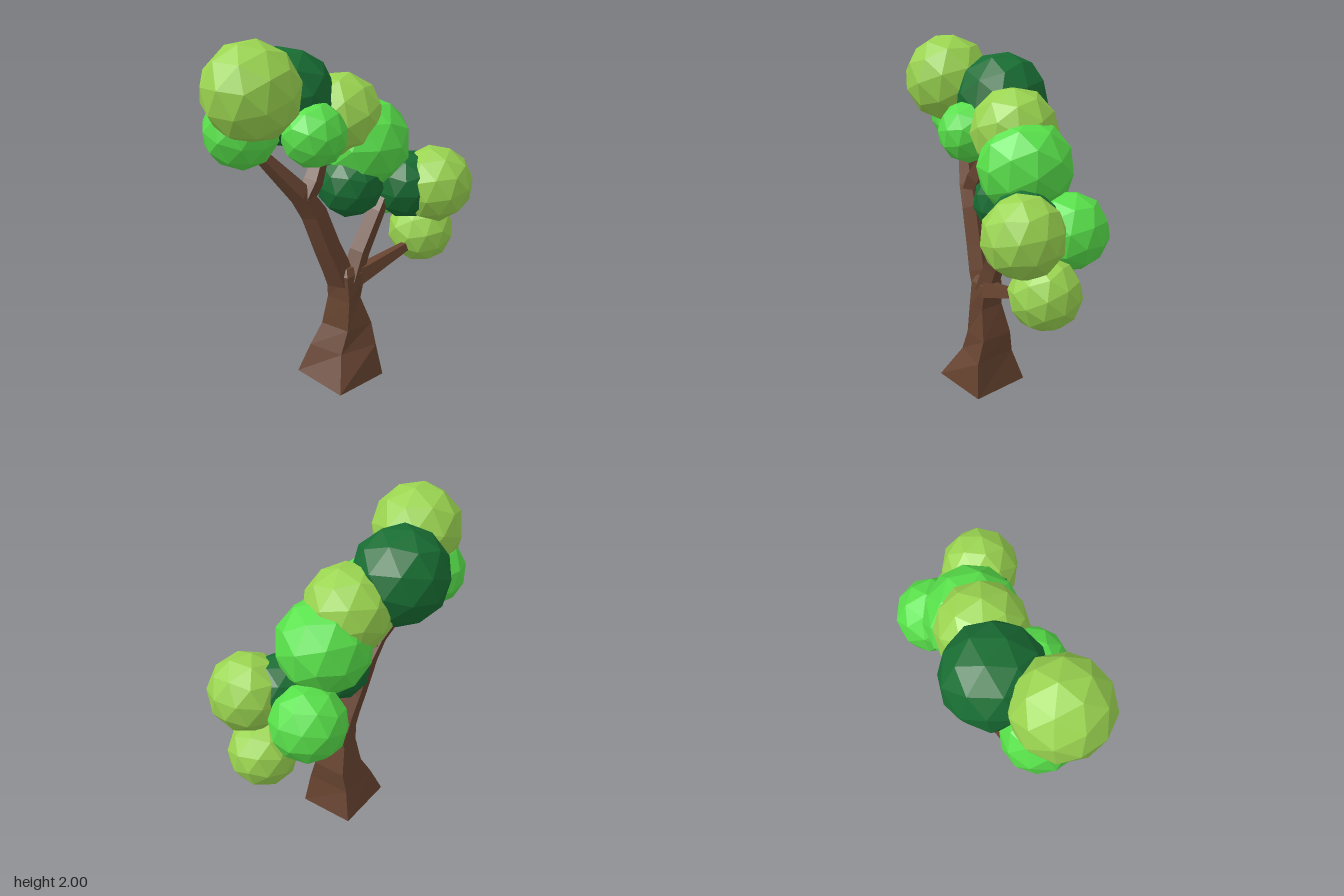
import * as THREE from 'three';

const V = (x, y, z) => new THREE.Vector3(x, y, z);
const flat = (color, name) => {
  const m = new THREE.MeshStandardMaterial({ color, flatShading: true });
  m.name = name;
  return m;
};

// Skin between four-cornered rings, closed at both ends
function loft(rings) {
  const pos = [];
  const quad = (a, b, c, d) => [a, b, c, a, c, d].forEach(p => pos.push(p.x, p.y, p.z));
  for (let i = 0; i < rings.length - 1; i++) {
    for (let k = 0; k < 4; k++) {
      const n = (k + 1) % 4;
      quad(rings[i][k], rings[i][n], rings[i + 1][n], rings[i + 1][k]);
    }
  }
  const a = rings[0], b = rings[rings.length - 1];
  quad(a[3], a[2], a[1], a[0]);
  quad(b[0], b[1], b[2], b[3]);
  const g = new THREE.BufferGeometry();
  g.setAttribute('position', new THREE.Float32BufferAttribute(pos, 3));
  g.computeVertexNormals();
  return g;
}

// Square-section limb along a path of [x, y, z, half diagonal]
function limb(path, twist) {
  const pts = path.map(p => V(p[0], p[1], p[2]));
  const rings = pts.map((p, i) => {
    const dir = pts[Math.min(i + 1, pts.length - 1)].clone().sub(pts[Math.max(i - 1, 0)]).normalize();
    const u = V(0, 0, 1).addScaledVector(dir, -dir.z).normalize();
    const w = dir.clone().cross(u);
    return [0, 1, 2, 3].map(k => {
      const t = k * Math.PI / 2 + twist;
      return p.clone().addScaledVector(u, Math.cos(t) * path[i][3]).addScaledVector(w, Math.sin(t) * path[i][3]);
    });
  });
  return loft(rings);
}

export function createModel() {
  const tree = new THREE.Group();
  tree.name = 'tree';
  const bark = flat(0x664330, 'bark brown');
  const olive = flat(0x9ad450, 'olive leaf');
  const bright = flat(0x58e04a, 'bright leaf');
  const dark = flat(0x186d33, 'dark leaf');
  const add = (name, geo, mat) => {
    const m = new THREE.Mesh(geo, mat);
    m.name = name;
    tree.add(m);
    return m;
  };

  // Trunk rings: front, right, back, left corners
  add('trunk', loft([
    [V(-0.055, 0.02, 0.37), V(0.212, 0, 0.13), V(-0.02, 0.015, -0.13), V(-0.285, 0.035, 0.11)],
    [V(-0.04, 0.2, 0.235), V(0.17, 0.2, 0.13), V(-0.02, 0.2, -0.06), V(-0.21, 0.2, 0.1)],
    [V(0, 0.33, 0.2), V(0.145, 0.33, 0.1), V(0, 0.33, -0.05), V(-0.14, 0.33, 0.08)],
    [V(0.01, 0.5, 0.185), V(0.08, 0.5, 0.11), V(-0.02, 0.5, 0), V(-0.105, 0.5, 0.08)],
    [V(0, 0.65, 0.172), V(0.11, 0.65, 0.09), V(0, 0.65, 0), V(-0.108, 0.65, 0.09)],
    [V(0, 0.69, 0.14), V(0.08, 0.69, 0.08), V(0.01, 0.69, 0.02), V(-0.09, 0.69, 0.1)],
  ]), bark);

  // Limbs
  add('tallLimb', limb([
    [-0.03, 0.6, 0.09, 0.08], [-0.06, 0.7, 0.11, 0.08], [-0.11, 0.83, 0.13, 0.075], [-0.18, 1.04, 0.16, 0.072],
    [-0.25, 1.16, 0.19, 0.062], [-0.44, 1.38, 0.23, 0.04], [-0.52, 1.47, 0.24, 0.035],
  ], 0.1), bark);
  add('tallLimbFork', limb([
    [-0.23, 1.13, 0.18, 0.055], [-0.18, 1.22, 0.15, 0.055], [-0.12, 1.39, 0.07, 0.04],
  ], 0.1), bark);
  add('middleLimb', limb([
    [0.03, 0.6, 0.09, 0.065], [0.08, 0.76, 0.045, 0.06], [0.18, 0.98, -0.02, 0.052], [0.24, 1.1, -0.07, 0.04],
  ], 0.1), bark);
  add('lowLimb', limb([
    [0.02, 0.61, 0.085, 0.075], [0.12, 0.64, 0.045, 0.056], [0.36, 0.722, -0.09, 0.032],
  ], Math.PI / 4), bark);

  // Leaf clumps: material, x, y, z, radius
  const ball = new THREE.IcosahedronGeometry(1, 1);
  ball.rotateX(-Math.atan((1 + Math.sqrt(5)) / 2));
  [
    [olive, -0.483, 1.745, 0.325, 0.257],
    [dark, -0.315, 1.645, 0.005, 0.271],
    [olive, -0.025, 1.52, -0.07, 0.246],
    [bright, 0.115, 1.352, -0.13, 0.268],
    [bright, -0.175, 1.487, 0.19, 0.178],
    [bright, -0.545, 1.53, 0.24, 0.202],
    [dark, 0.03, 1.14, -0.03, 0.19],
    [dark, 0.36, 1.1, -0.125, 0.197],
    [olive, 0.525, 1.1, -0.12, 0.222],
    [bright, 0.24, 1.04, -0.368, 0.215],
    [olive, 0.475, 0.775, -0.235, 0.197],
  ].forEach(([mat, x, y, z, r], i) => {
    const m = add('leafClump' + (i + 1), ball, mat);
    m.position.set(x, y, z);
    m.scale.setScalar(r);
    m.rotation.set(0.3, i * 0.7, 0.2);
  });
  return tree;
}
